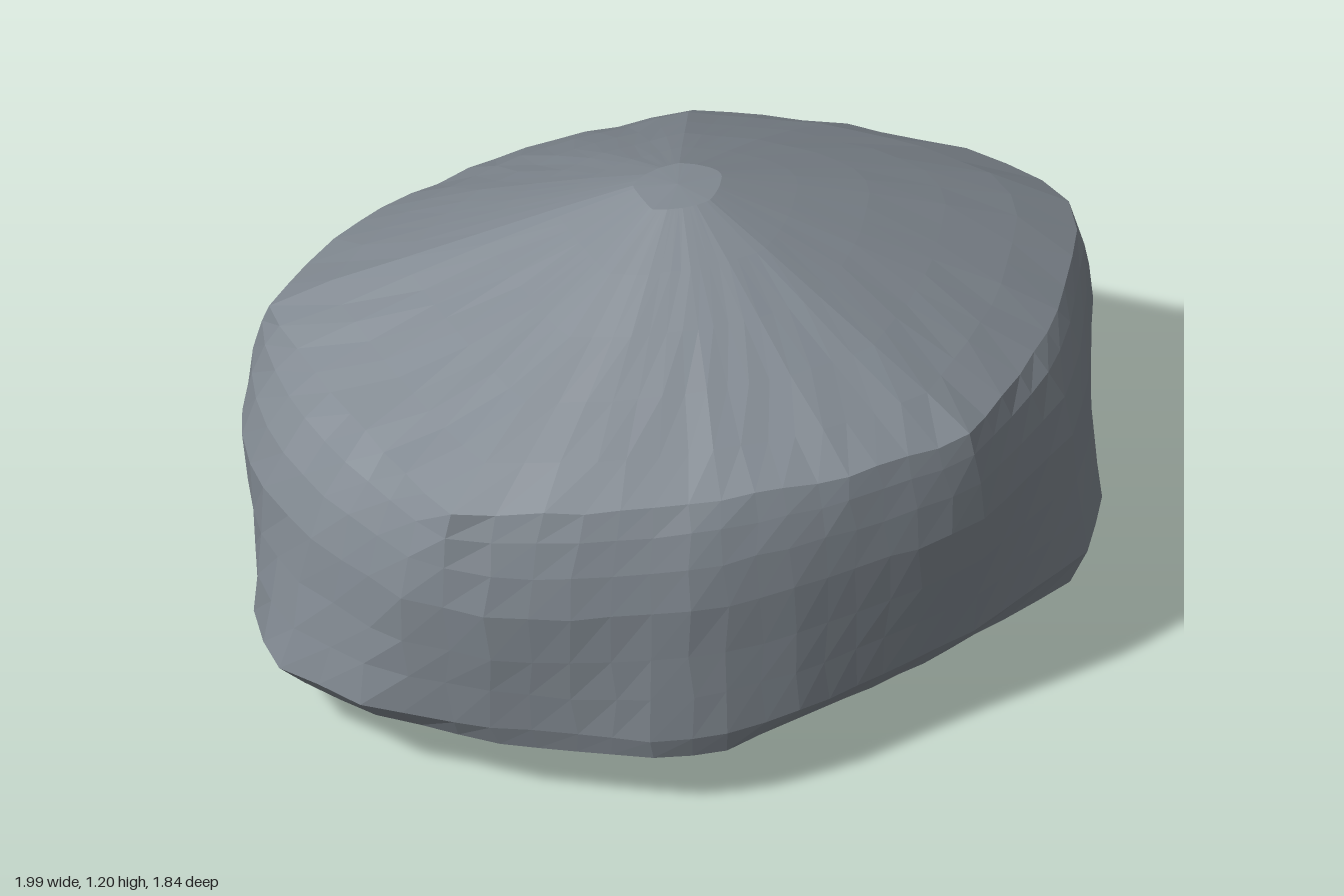
import * as THREE from 'three';

const SEGMENTS = 60;

// Plan outlines as [x, z] corners, listed from +x towards +z
const BASE = [[.95, -.12], [.95, .01], [.63, .42], [.25, .81], [.08, .87], [-.3, .86], [-.62, .79], [-.82, .66],
  [-.88, .5], [-.9, .25], [-.88, .05], [-.81, -.3], [-.76, -.39], [.3, -.88], [.5, -.81], [.9, -.32]];
const LOW = [[.995, -.2], [.99, 0], [.77, .35], [.63, .5], [.41, .715], [.24, .83], [.08, .88], [-.28, .88], [-.6, .85], [-.82, .73],
  [-.91, .58], [-.93, .3], [-.92, .1], [-.88, -.1], [-.82, -.32], [-.75, -.41], [-.5, -.62], [-.22, -.79], [.28, -.93], [.56, -.83], [.72, -.67], [.92, -.4]];
const MIDDLE = [[.96, -.2], [.96, 0], [.88, .18], [.8, .36], [.71, .46], [.41, .69], [.2, .82], [-.1, .9], [-.28, .925], [-.5, .88],
  [-.75, .69], [-.9, .5], [-.97, .35], [-1, .15], [-.98, .02], [-.87, -.15], [-.75, -.36], [-.5, -.62], [-.24, -.8], [-.1, -.865], [.28, -.88], [.6, -.82], [.83, -.7], [.92, -.53]];
const RIM = [[.89, -.15], [.84, .1], [.76, .36], [.5, .57], [.22, .71], [-.1, .82], [-.4, .87], [-.55, .69], [-.75, .42],
  [-.95, .12], [-.87, -.13], [-.74, -.34], [-.48, -.61], [-.1, -.845], [.28, -.85], [.6, -.79], [.83, -.67], [.89, -.5]];

// Distance from the centre to an outline in a given direction
function reach(outline, angle) {
  const dx = Math.cos(angle), dz = Math.sin(angle);
  for (let i = 0; i < outline.length; i++) {
    const [ax, az] = outline[i], [bx, bz] = outline[(i + 1) % outline.length];
    const a = dx * az - dz * ax, b = dx * bz - dz * bx;
    if (a <= 0 && b > 0 && ax * dx + az * dz > 0) {
      const t = a / (a - b);
      return (ax + (bx - ax) * t) * dx + (az + (bz - az) * t) * dz;
    }
  }
  return 0.9;
}

// Small repeatable unevenness for the chipped faces
let seed = 7;
function chip(amount) {
  seed = (seed * 16807) % 2147483647;
  return (seed / 2147483647 - 0.5) * amount;
}

// Rings from underside to peak: outline A, outline B, blend, scale, height, tilt along z
const RINGS = [
  [BASE, BASE, 0, .14, .003, 0], [BASE, BASE, 0, .4, .034, .008], [BASE, BASE, 0, .7, .073, .025], [BASE, BASE, 0, .9, .107, .042],
  [BASE, BASE, 0, 1, .142, .03], [LOW, LOW, 0, 1, .235, -.01],
  [LOW, MIDDLE, .35, 1, .34, 0], [LOW, MIDDLE, .7, 1, .45, 0], [MIDDLE, MIDDLE, 0, 1, .58, 0],
  [MIDDLE, RIM, .25, 1, .68, .01], [MIDDLE, RIM, .6, 1, .755, .02],
  [RIM, RIM, 0, 1, .805, .035], [RIM, RIM, 0, .85, .878, .022], [RIM, RIM, 0, .67, .958, .012],
  [RIM, RIM, 0, .48, 1.04, 0], [RIM, RIM, 0, .3, 1.115, 0], [RIM, RIM, 0, .11, 1.19, 0],
];

function rockGeometry() {
  const positions = [], index = [];
  RINGS.forEach(([a, b, blend, scale, height, tilt], level) => {
    // The peak sits slightly towards the back left corner
    const shift = level > 11 ? 0.012 * (1 - scale) : 0;
    const rough = scale * scale;
    for (let i = 0; i < SEGMENTS; i++) {
      const angle = (i / SEGMENTS) * Math.PI * 2 + chip(0.02 * rough);
      const r = THREE.MathUtils.lerp(reach(a, angle), reach(b, angle), blend) * scale;
      const x = Math.cos(angle) * r, z = Math.sin(angle) * r;
      positions.push(x + shift, height + tilt * z + chip(0.01 * rough), z - shift);
    }
  });
  // Sides between neighbouring rings
  for (let level = 0; level < RINGS.length - 1; level++) {
    for (let i = 0; i < SEGMENTS; i++) {
      const p = level * SEGMENTS + i, q = level * SEGMENTS + (i + 1) % SEGMENTS;
      index.push(p, p + SEGMENTS, q, q, p + SEGMENTS, q + SEGMENTS);
    }
  }
  // Closed underside and peak
  const bottom = positions.length / 3, top = bottom + 1, last = (RINGS.length - 1) * SEGMENTS;
  positions.push(0, 0, 0, 0.012, 1.198, -0.012);
  for (let i = 0; i < SEGMENTS; i++) {
    const j = (i + 1) % SEGMENTS;
    index.push(bottom, i, j, top, last + j, last + i);
  }
  const geometry = new THREE.BufferGeometry();
  geometry.setAttribute('position', new THREE.Float32BufferAttribute(positions, 3));
  geometry.setIndex(index);
  const flat = geometry.toNonIndexed();
  flat.computeVertexNormals();
  return flat;
}

export function createModel() {
  seed = 7;
  const stone = new THREE.MeshStandardMaterial({ color: 0x828a92 });
  stone.name = 'grey stone';
  const rock = new THREE.Mesh(rockGeometry(), stone);
  rock.name = 'boulder';
  const model = new THREE.Group();
  model.name = 'rock';
  model.add(rock);
  return model;
}
